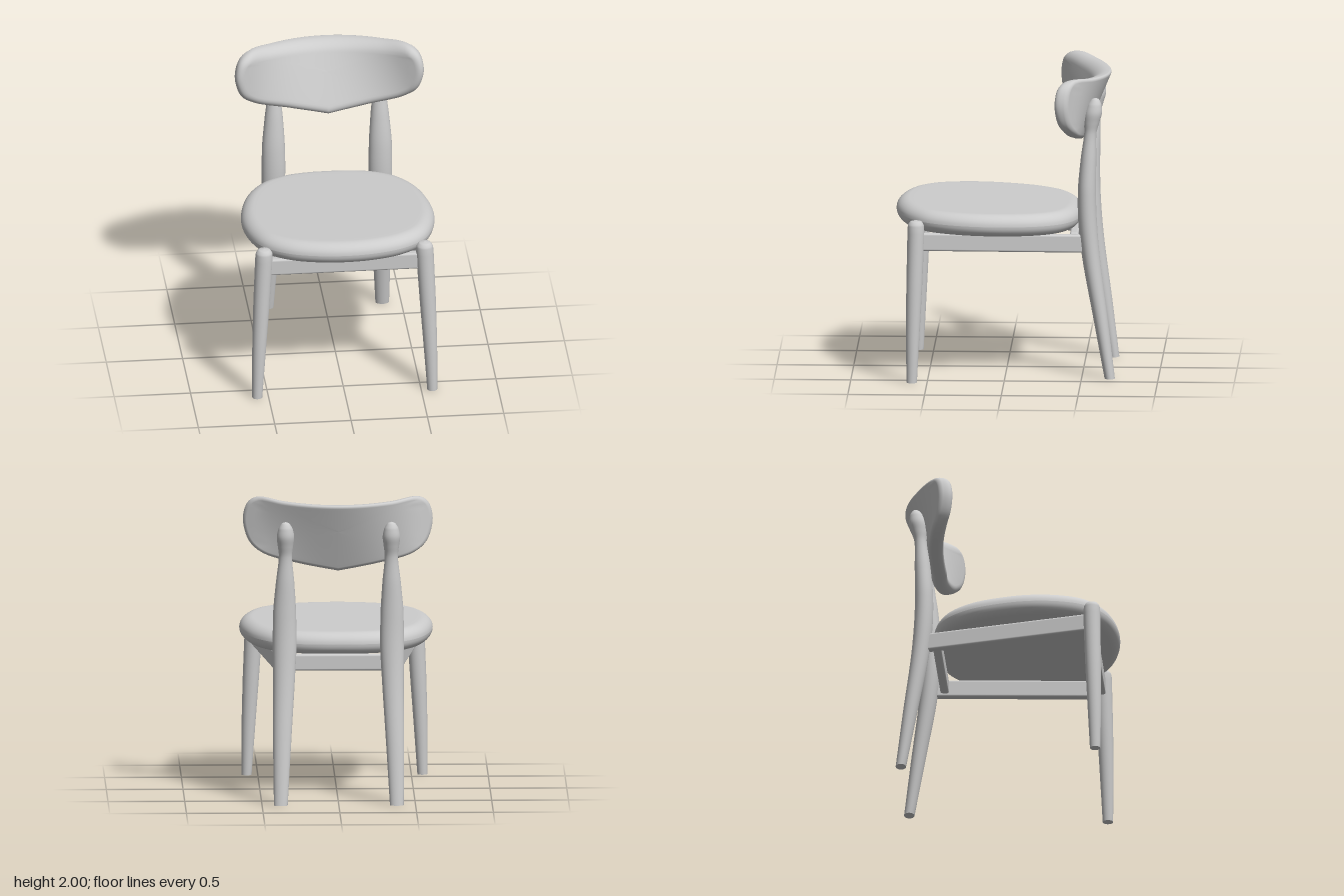
import * as THREE from 'three';
import { RoundedBoxGeometry } from 'three/addons/geometries/RoundedBoxGeometry.js';

// Skin a list of equal-length closed rings with smooth normals
function loft(rings) {
  const n = rings[0].length, index = [];
  for (let i = 0; i < rings.length - 1; i++) {
    for (let j = 0; j < n; j++) {
      const k = (j + 1) % n;
      const a = i * n + j, b = i * n + k, c = b + n, d = a + n;
      index.push(a, b, c, a, c, d);
    }
  }
  const geo = new THREE.BufferGeometry().setFromPoints(rings.flat());
  geo.setIndex(index);
  geo.computeVertexNormals();
  return geo;
}

// Mirror a half outline about x = 0 and smooth it; a kinked one keeps its first point sharp
function outline(half, kinked, count = 120) {
  const pts = half.map(([x, y]) => new THREE.Vector3(x, y, 0));
  half.slice(1, -1).reverse().forEach(([x, y]) => pts.push(new THREE.Vector3(-x, y, 0)));
  if (kinked) pts.push(pts[0].clone());
  return new THREE.CatmullRomCurve3(pts, !kinked).getSpacedPoints(count).slice(0, count);
}

// Cushion-like slab: profile holds [inset, height] pairs, place() bends it into position
function slab(loop, centre, profile, place) {
  const n = loop.length;
  const ring = (inset, w, s) => loop.map((p, j) => {
    const t = loop[(j + 1) % n].clone().sub(loop[(j + n - 1) % n]).normalize();
    const u = p.x - t.y * inset, v = p.y + t.x * inset;
    return place(u * s, centre + (v - centre) * s, w);
  });
  const rings = [], steps = 12;
  const [first, last] = [profile[0], profile[profile.length - 1]];
  for (let i = 0; i < steps; i++) rings.push(ring(first[0], first[1], i / steps));
  profile.forEach(([inset, w]) => rings.push(ring(inset, w, 1)));
  for (let i = steps - 1; i >= 0; i--) rings.push(ring(last[0], last[1], i / steps));
  return loft(rings);
}

// Quarter-round profile points for lower and upper edges
function roundedProfile(lowInset, lowH, highInset, highH, bottom, top, steps = 8) {
  const out = [];
  for (let i = 0; i <= steps; i++) {
    const a = (i / steps) * Math.PI / 2;
    out.push([lowInset * (1 - Math.sin(a)), bottom + lowH * (1 - Math.cos(a))]);
  }
  for (let i = 0; i <= steps; i++) {
    const a = (i / steps) * Math.PI / 2;
    out.push([highInset * (1 - Math.cos(a)), top - highH * (1 - Math.sin(a))]);
  }
  return out;
}

// Turned leg through stations [x, y, z, radiusX, radiusZ], mirrored by side
function leg(stations, side, sides = 28) {
  const at = new THREE.CatmullRomCurve3(stations.map(([x, y, z]) => new THREE.Vector3(x, y, z)));
  const size = new THREE.CatmullRomCurve3(stations.map((s) => new THREE.Vector3(s[3], s[4], 0)));
  const ring = (c, rx, rz) => Array.from({ length: sides }, (_, j) => {
    const a = (j / sides) * Math.PI * 2;
    return new THREE.Vector3(side * c.x + rx * Math.cos(a), c.y, c.z - rz * Math.sin(a));
  });
  const rings = [], steps = (stations.length - 1) * 6;
  const foot = at.getPoint(0), footSize = size.getPoint(0);
  [0, 0.97].forEach((k) => rings.push(ring(foot, footSize.x * k, footSize.y * k)));
  for (let i = 0; i <= steps; i++) {
    const r = size.getPoint(i / steps);
    rings.push(ring(at.getPoint(i / steps), Math.max(r.x, 0), Math.max(r.y, 0)));
  }
  return loft(rings);
}

// Rounded bar between two points
function rail(a, b, height, depth) {
  const from = new THREE.Vector3(...a), to = new THREE.Vector3(...b);
  const geo = new RoundedBoxGeometry(depth, height, from.distanceTo(to), 3, 0.014);
  const mesh = new THREE.Mesh(geo);
  mesh.position.copy(from).add(to).multiplyScalar(0.5);
  mesh.lookAt(to);
  return mesh;
}

export function createModel() {
  const model = new THREE.Group();
  model.name = 'chair';
  const paint = new THREE.MeshStandardMaterial({ color: 0xcccccc });
  paint.name = 'light grey';
  const add = (name, part) => {
    const mesh = part.isMesh ? part : new THREE.Mesh(part);
    mesh.material = paint;
    mesh.name = name;
    model.add(mesh);
  };

  // Seat cushion, sloping gently to the rear (outline given as x, z)
  const seatHalf = [
    [0, 0.72], [0.2, 0.7], [0.38, 0.64], [0.52, 0.53], [0.595, 0.38], [0.63, 0.18],
    [0.61, -0.03], [0.55, -0.22], [0.44, -0.37], [0.3, -0.45], [0.15, -0.483], [0, -0.49],
  ].map(([x, z]) => [x, -z]);
  add('seat', slab(outline(seatHalf, false), -0.12,
    roundedProfile(0.075, 0.072, 0.085, 0.073, -0.073, 0.073),
    (u, v, w) => new THREE.Vector3(u, 1.06 + (-v - 0.72) * 0.026 + w, -v)));

  // Backrest, wrapped around the sitter and leaning back most at its middle
  const backHalf = [
    [0, 1.515], [0.12, 1.538], [0.25, 1.565], [0.48, 1.625], [0.57, 1.69], [0.61, 1.78],
    [0.617, 1.87], [0.585, 1.96], [0.52, 1.998], [0.35, 1.984], [0.15, 1.975], [0, 1.973],
  ];
  add('backrest', slab(outline(backHalf, true), 1.79,
    roundedProfile(0.022, 0.022, 0.06, 0.07, -0.052, 0.055),
    (u, v, w) => {
      const lean = 0.42 * Math.max(0, 1 - (u / 0.52) ** 2);
      return new THREE.Vector3(u, v, -0.55 + 0.5 * u * u - lean * (v - 1.77) + w);
    }));

  // Legs: tapered front pair, and rear pair rising to teardrop ends behind the backrest
  const frontLeg = [
    [0.573, 0, 0.6, 0.033, 0.034], [0.562, 0.3, 0.594, 0.044, 0.044],
    [0.545, 0.65, 0.584, 0.053, 0.052], [0.528, 0.98, 0.575, 0.057, 0.055],
    [0.526, 1.035, 0.575, 0.054, 0.052], [0.526, 1.06, 0.575, 0.037, 0.036],
    [0.526, 1.068, 0.575, 0, 0],
  ];
  const rearLeg = [
    [0.378, 0, -0.683, 0.045, 0.034], [0.368, 0.4, -0.622, 0.059, 0.047],
    [0.355, 0.8, -0.56, 0.071, 0.058], [0.35, 1.05, -0.537, 0.078, 0.061],
    [0.35, 1.25, -0.534, 0.075, 0.059], [0.347, 1.45, -0.544, 0.06, 0.051],
    [0.345, 1.62, -0.556, 0.043, 0.04], [0.345, 1.69, -0.564, 0.05, 0.05],
    [0.345, 1.75, -0.574, 0.057, 0.057], [0.345, 1.81, -0.583, 0.046, 0.045],
    [0.345, 1.845, -0.588, 0.024, 0.023], [0.345, 1.854, -0.589, 0, 0],
  ];
  for (const [side, label] of [[1, 'left'], [-1, 'right']]) {
    add(`${label}FrontLeg`, leg(frontLeg, side));
    add(`${label}RearLeg`, leg(rearLeg, side));
    add(`${label}SideRail`, rail([side * 0.52, 0.925, 0.57], [side * 0.36, 0.89, -0.52], 0.118, 0.055));
  }

  // Cross rails under the seat
  add('frontRail', rail([-0.52, 0.932, 0.565], [0.52, 0.932, 0.565], 0.114, 0.055));
  add('rearRail', rail([-0.37, 0.908, -0.45], [0.37, 0.908, -0.45], 0.108, 0.055));

  return model;
}
